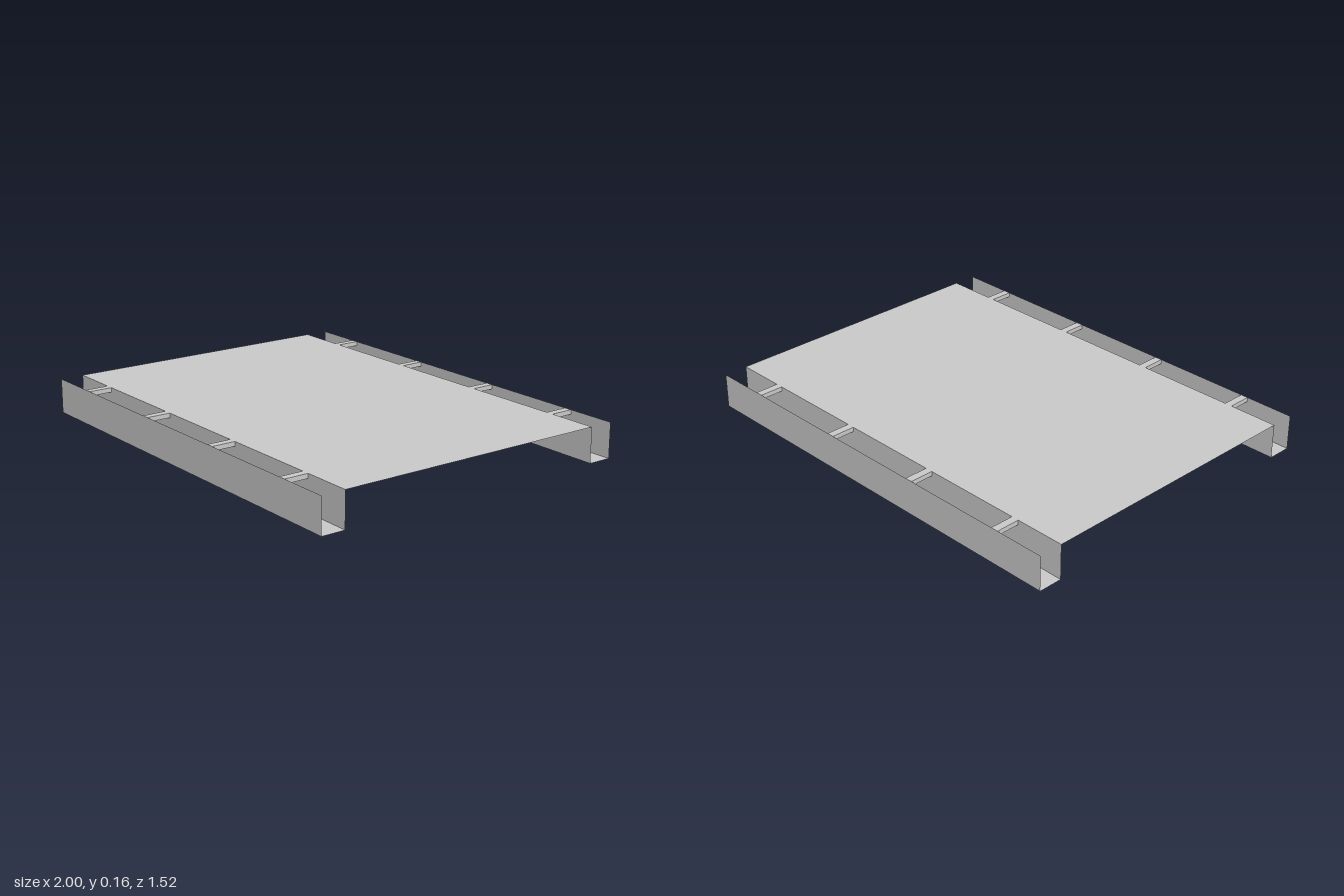
import * as THREE from 'three';

const H = 0.161;        // overall height, deck level
const Z_DECK = 0.651;   // inner wall of the side channels
const Z_OUT = 0.762;    // outer wall of the side channels
const Z_PANEL = 0.559;  // half depth of the floor panels
const SEAM = 0.003;     // half width of the panel seams
const CUT = 0.05;       // corner cut of the panels

export function createModel() {
  const group = new THREE.Group();
  const sheet = new THREE.MeshStandardMaterial({ color: 0xcccccc, side: THREE.DoubleSide, flatShading: true });
  const solid = new THREE.MeshStandardMaterial({ color: 0xcccccc, flatShading: true });

  const add = (name, geometry, material, x = 0, y = 0, z = 0, parent = group) => {
    const mesh = new THREE.Mesh(geometry, material);
    mesh.name = name;
    mesh.position.set(x, y, z);
    parent.add(mesh);
    return mesh;
  };
  const points = (list) => list.map(([x, y]) => new THREE.Vector2(x, y));
  const flat = (shape) => new THREE.ShapeGeometry(shape).rotateX(-Math.PI / 2);

  // Panel outline with two cut corners on its +x edge
  const panelOutline = (x0, inset) => {
    const a = x0 + inset, b = x0 + 1 - inset, z = Z_PANEL - inset;
    return points([[a, -z], [b - CUT, -z], [b, -z + CUT], [b, z - CUT], [b - CUT, z], [a, z]]);
  };

  // Deck frame: side strips, corner gussets and the seams around the panels
  const frame = new THREE.Shape(points([[-1, -Z_DECK], [1, -Z_DECK], [1, Z_DECK], [-1, Z_DECK]]));
  for (const x0 of [-1, 0]) {
    frame.holes.push(new THREE.Path(panelOutline(x0, SEAM)));
    add('floorPanel', flat(new THREE.Shape(panelOutline(x0, SEAM))), sheet, 0, H, 0);
  }
  add('deckFrame', flat(frame), sheet, 0, H, 0);

  // Open side channels of thin sheet, with cross straps level with the deck
  const width = Z_OUT - Z_DECK;
  const middle = (Z_OUT + Z_DECK) / 2;
  const strapHeight = 0.021;
  for (const side of [1, -1]) {
    const channel = new THREE.Group();
    channel.name = side > 0 ? 'frontChannel' : 'backChannel';
    group.add(channel);

    const wall = new THREE.PlaneGeometry(2, H);
    add('outerWall', wall, sheet, 0, H / 2, side * Z_OUT, channel).rotation.y = side > 0 ? 0 : Math.PI;
    add('innerWall', wall, sheet, 0, H / 2, side * Z_DECK, channel).rotation.y = side > 0 ? 0 : Math.PI;
    add('channelFloor', new THREE.PlaneGeometry(2, width).rotateX(Math.PI / 2), sheet, 0, 0, side * middle, channel);

    for (const x of [-0.75, -0.25, 0.25, 0.75]) {
      add('crossStrap', new THREE.BoxGeometry(0.035, strapHeight, width), solid,
        x, H - strapHeight / 2, side * middle, channel);
    }
  }
  return group;
}
